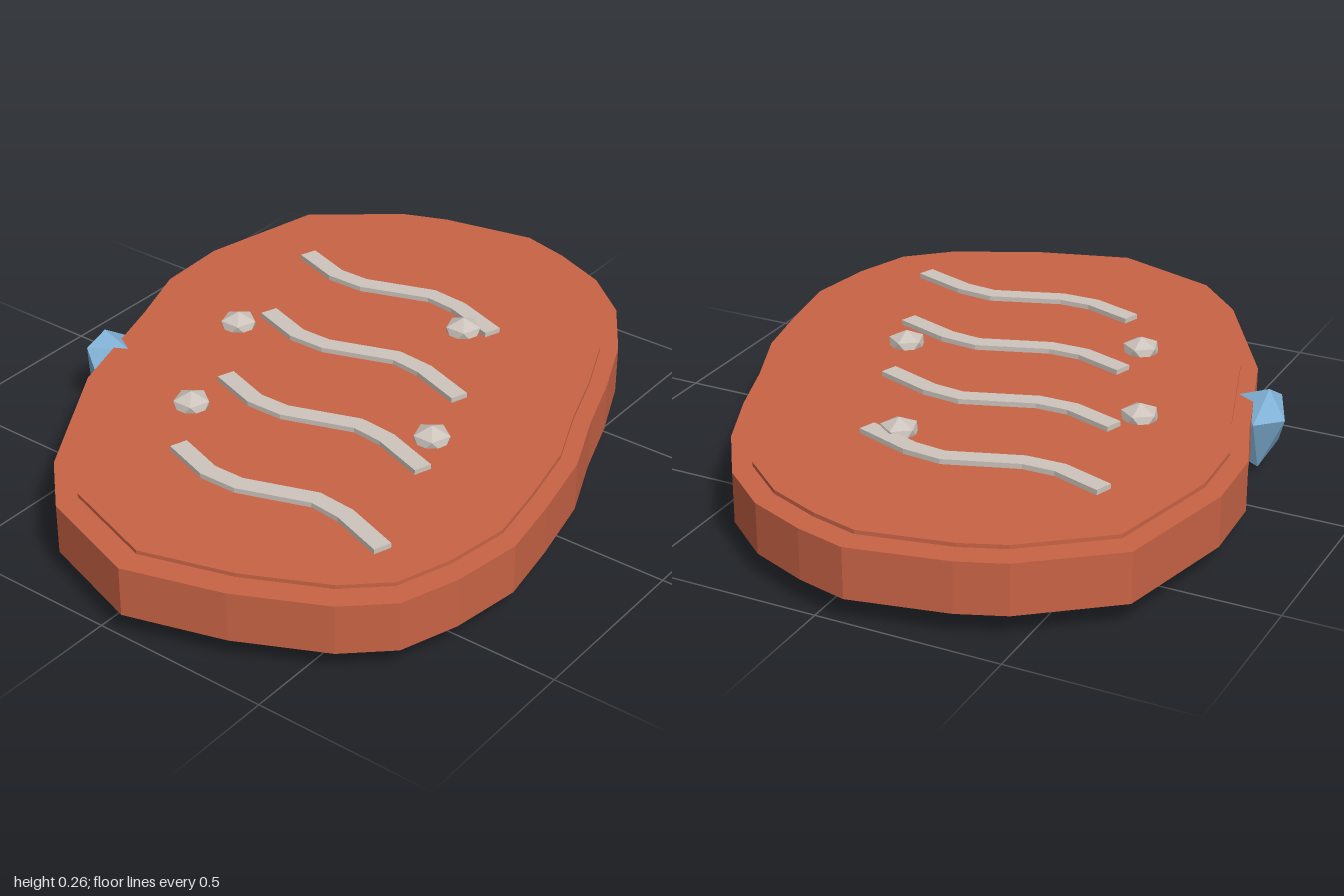
import * as THREE from 'three';
import { ConvexGeometry } from 'three/addons/geometries/ConvexGeometry.js';

const mat = (name, color) => Object.assign(new THREE.MeshStandardMaterial({ color }), { name });

// Extrude an outline of [x, z] points upward from y0 to y1
function prism(points, y0, y1) {
  const shape = new THREE.Shape(points.map(([x, z]) => new THREE.Vector2(x, -z)));
  const geo = new THREE.ExtrudeGeometry(shape, { depth: y1 - y0, bevelEnabled: false });
  return geo.rotateX(-Math.PI / 2).translate(0, y0, 0);
}

// Closed outline of constant width along a path of [x, z] points
function ribbon(path, width) {
  const a = [], b = [];
  path.forEach(([x, z], i) => {
    const p = path[Math.max(i - 1, 0)], q = path[Math.min(i + 1, path.length - 1)];
    const dx = q[0] - p[0], dz = q[1] - p[1], k = width / 2 / Math.hypot(dx, dz);
    a.push([x - dz * k, z + dx * k]);
    b.unshift([x + dz * k, z - dx * k]);
  });
  return a.concat(b);
}

export function createModel() {
  const model = new THREE.Group();
  const clay = mat('terracotta', 0xc86345);
  const stone = mat('pale stone', 0xccc4bc);
  const blue = mat('blue crystal', 0x7fb0d3);
  const add = (name, geo, material) => {
    const mesh = new THREE.Mesh(geo, material);
    mesh.name = name;
    model.add(mesh);
    return mesh;
  };

  // Slab with a slightly raised inner top
  const outline = [
    [-1, 0.07], [-0.9, -0.23], [-0.76, -0.37], [-0.4, -0.585], [-0.04, -0.7], [0.15, -0.77],
    [0.36, -0.78], [0.715, -0.7], [0.895, -0.47], [0.945, -0.345], [1, -0.08], [0.965, 0.06],
    [0.9, 0.22], [0.785, 0.36], [0.61, 0.475], [0.425, 0.555], [0.24, 0.62], [0.05, 0.7],
    [-0.16, 0.745], [-0.345, 0.775], [-0.54, 0.745], [-0.7, 0.69], [-0.805, 0.575], [-0.92, 0.34],
  ];
  add('slab', prism(outline, 0.065, 0.205), clay);
  add('raisedTop', prism(outline.map(([x, z]) => [x * 0.93, z * 0.93]), 0.2, 0.216), clay);

  // Four wavy ridges
  const wave = [[-0.525, -0.15], [-0.573, -0.01], [-0.572, 0.09], [-0.505, 0.285], [-0.515, 0.385], [-0.57, 0.54]];
  for (let i = 0; i < 4; i++) {
    const path = wave.map(([x, z]) => [x + i * 0.337, z - i * 0.124]);
    add('wavyRidge' + (i + 1), prism(ribbon(path, 0.05), 0.205, 0.23), stone);
  }

  // Flattened pebbles, one corner up
  const pebble = new THREE.IcosahedronGeometry(0.056, 0).rotateZ(-0.5536).scale(1, 0.73, 1);
  [[-0.345, -0.26], [0.055, -0.43], [0.41, 0.09], [-0.095, 0.345]].forEach(([x, z], i) =>
    add('pebble' + (i + 1), pebble, stone).position.set(x, 0.217, z));

  // Faceted crystal lodged in the back rim
  const corners = [
    [-0.27, 0, -0.59], [-0.185, 0.02, -0.675], [-0.22, 0.237, -0.685], [-0.185, 0.17, -0.745],
    [-0.28, 0.2, -0.7], [-0.12, 0.17, -0.68], [-0.22, 0.205, -0.6], [-0.315, 0.1, -0.615],
    [-0.15, 0.07, -0.61], [-0.27, 0.07, -0.7], [-0.2, 0.09, -0.56],
  ];
  add('crystal', new ConvexGeometry(corners.map((c) => new THREE.Vector3(...c))), blue);

  return model;
}
